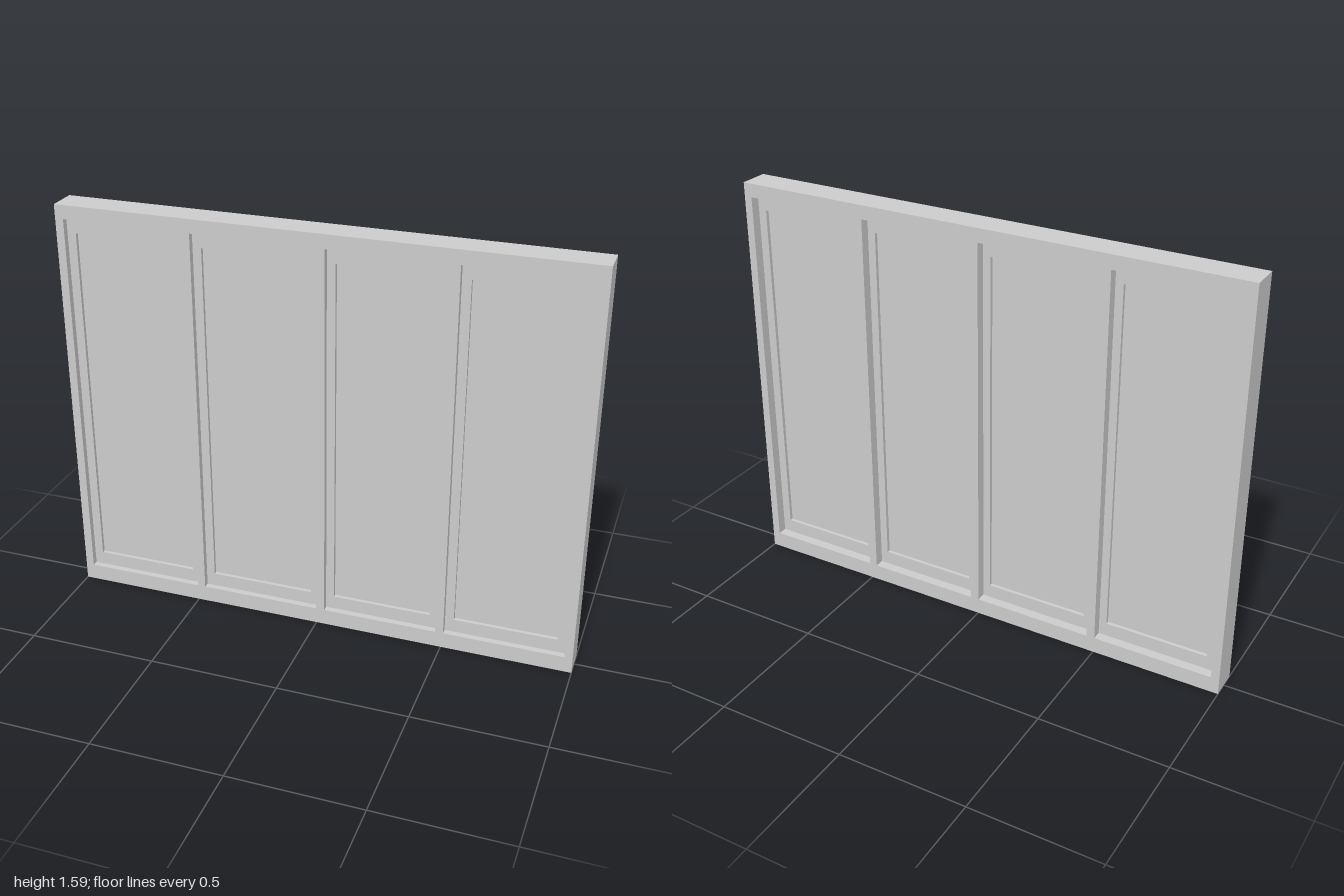
import * as THREE from 'three';

const material = new THREE.MeshStandardMaterial({ color: 0xcccccc, flatShading: true });

// Rectangle given as [x0, y0, x1, y1]
function trace(path, [x0, y0, x1, y1]) {
  path.moveTo(x0, y0);
  path.lineTo(x1, y0);
  path.lineTo(x1, y1);
  path.lineTo(x0, y1);
  path.closePath();
  return path;
}

// Rectangular slab between two depths, with rectangular openings
function slab(name, outer, openings, zBack, zFront) {
  const shape = trace(new THREE.Shape(), outer);
  for (const o of openings) shape.holes.push(trace(new THREE.Path(), o));
  const geometry = new THREE.ExtrudeGeometry(shape, { depth: zFront - zBack, bevelEnabled: false });
  geometry.translate(0, 0, zBack);
  const mesh = new THREE.Mesh(geometry, material);
  mesh.name = name;
  return mesh;
}

export function createModel() {
  const group = new THREE.Group();
  group.name = 'window';

  // Horizontal extents of each opening and of the pane inside it
  const bays = [
    { opening: [-0.968, -0.503], pane: [-0.934, -0.533] },
    { opening: [-0.471, -0.002], pane: [-0.438, -0.031] },
    { opening: [0.032, 0.476], pane: [0.064, 0.446] },
    { opening: [0.508, 0.969], pane: [0.542, 0.936] },
  ];
  const openingRect = ([a, b]) => [a, 0.064, b, 1.537];
  const paneRect = ([a, b]) => [a, 0.118, b, 1.48];

  // Outer frame with mullions
  group.add(slab('outerFrame', [-1, 0, 1, 1.59], bays.map((b) => openingRect(b.opening)), -0.058, 0.058));

  // Sash and glass in each bay
  bays.forEach(({ opening, pane }, i) => {
    const bay = new THREE.Group();
    bay.name = `casement${i + 1}`;
    bay.add(slab('sash', openingRect(opening), [paneRect(pane)], -0.02, 0.034));
    bay.add(slab('glass', paneRect(pane), [], -0.006, 0.02));
    group.add(bay);
  });

  return group;
}
